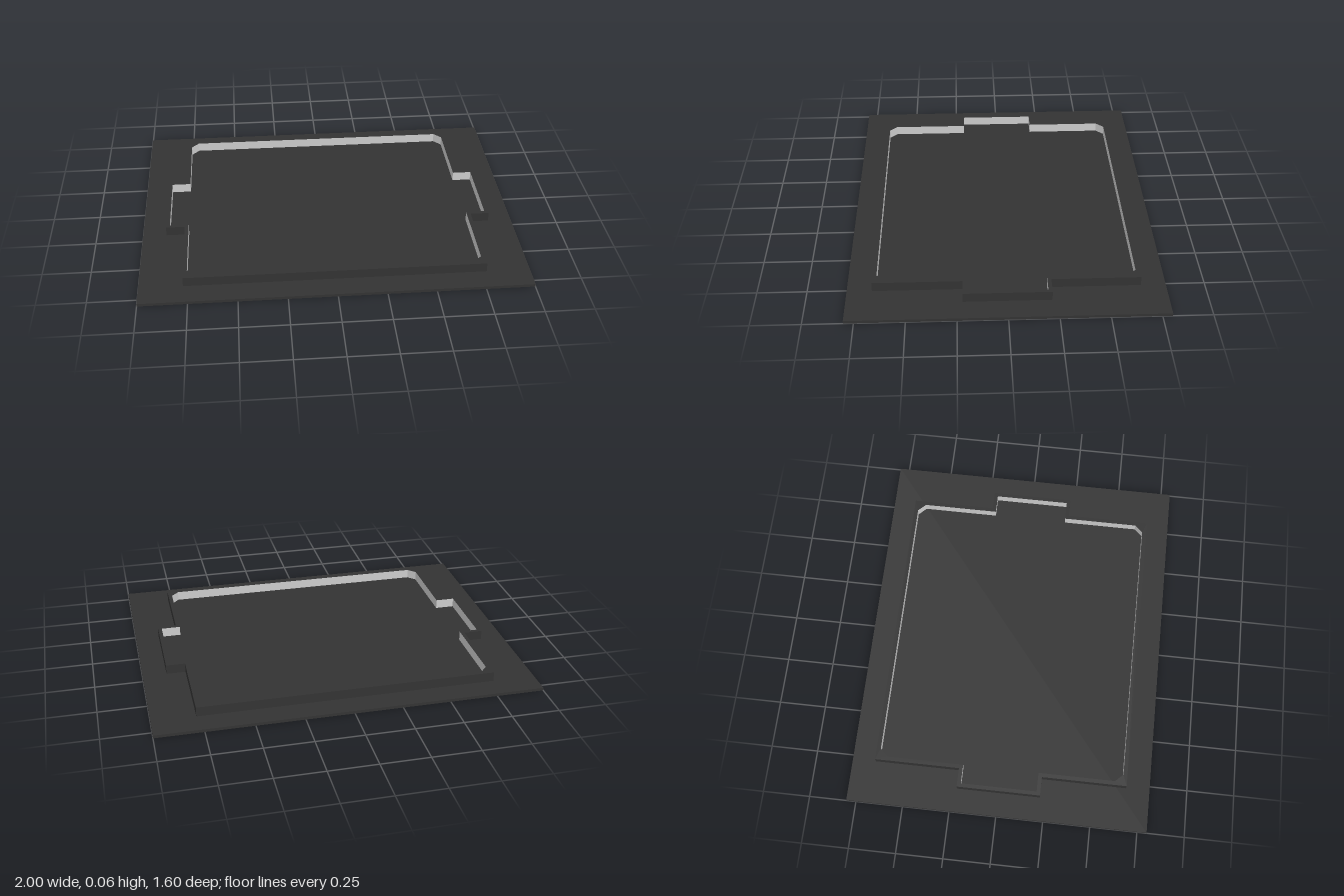
import * as THREE from 'three';

const SLAB_TOP = 0.015, WALL_TOP = 0.065;

// Mirrors a quarter outline (+x, +z) into a closed counter-clockwise loop in (x, -z).
function mirrorOutline(quarter) {
  const back = [...quarter].reverse();
  return [
    ...quarter,
    ...back.map(([x, y]) => [-x, y]),
    ...quarter.map(([x, y]) => [-x, -y]),
    ...back.map(([x, y]) => [x, -y]),
  ].map(([x, y]) => new THREE.Vector2(x, y));
}

// Vertical strip that follows an outline; its front side is outward, or inward if asked.
function wallStrip(loop, inward) {
  const positions = [];
  loop.forEach((p, i) => {
    const q = loop[(i + 1) % loop.length];
    const [a, b] = inward ? [q, p] : [p, q];
    const corners = [
      [a.x, SLAB_TOP, -a.y], [b.x, SLAB_TOP, -b.y],
      [b.x, WALL_TOP, -b.y], [a.x, WALL_TOP, -a.y],
    ];
    for (const k of [0, 1, 2, 0, 2, 3]) positions.push(...corners[k]);
  });
  const geometry = new THREE.BufferGeometry();
  geometry.setAttribute('position', new THREE.Float32BufferAttribute(positions, 3));
  geometry.computeVertexNormals();
  return geometry;
}

export function createModel() {
  const charcoal = new THREE.MeshStandardMaterial({ color: 0x333333 });
  charcoal.name = 'charcoal';
  const lightGrey = new THREE.MeshStandardMaterial({ color: 0xcccccc });
  lightGrey.name = 'light grey';

  const model = new THREE.Group();
  model.name = 'walledTray';
  const add = (name, geometry, material, parent = model) => {
    const mesh = new THREE.Mesh(geometry, material);
    mesh.name = name;
    parent.add(mesh);
    return mesh;
  };

  // Base slab
  const slab = add('baseSlab', new THREE.BoxGeometry(2, SLAB_TOP, 1.6), charcoal);
  slab.position.y = SLAB_TOP / 2;

  // Perimeter wall: square outer corners, chamfered inner corners, a bay on each side
  const outer = mirrorOutline([[0.875, 0.222], [0.775, 0.222], [0.775, 0.674]]);
  const inner = mirrorOutline([
    [0.855, 0.202], [0.754, 0.202], [0.754, 0.61], [0.714, 0.652],
  ]);
  const wall = new THREE.Group();
  wall.name = 'perimeterWall';
  model.add(wall);
  add('wallOuterFaces', wallStrip(outer, false), charcoal, wall);
  add('wallInnerFaces', wallStrip(inner, true), lightGrey, wall);

  // Flat rim on top of the wall
  const rimShape = new THREE.Shape(outer);
  rimShape.holes.push(new THREE.Path(inner));
  const rim = new THREE.ShapeGeometry(rimShape);
  rim.rotateX(-Math.PI / 2);
  rim.translate(0, WALL_TOP, 0);
  add('wallRim', rim, charcoal, wall);

  return model;
}
